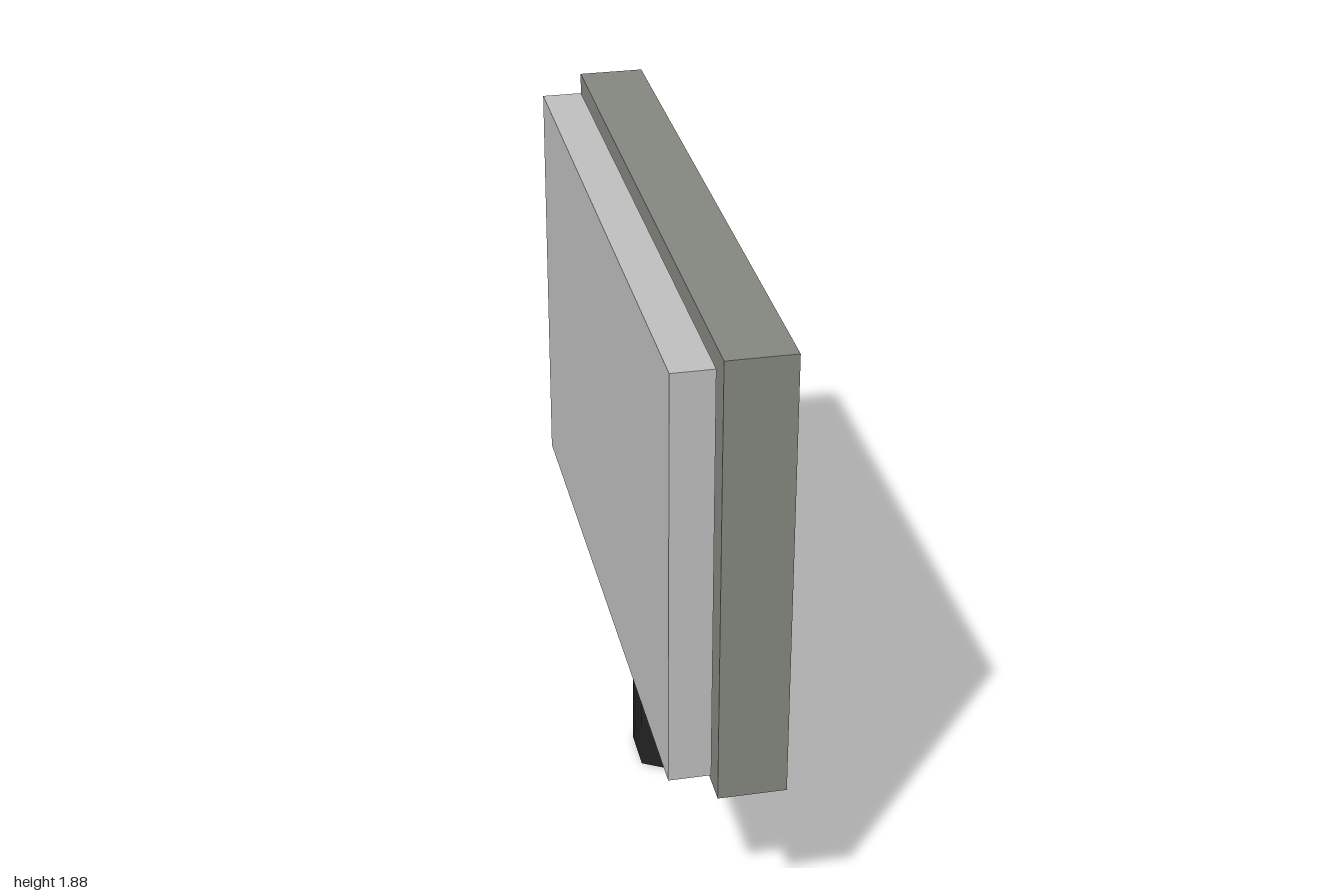
import * as THREE from 'three';

const material = (name, color) => {
  const m = new THREE.MeshStandardMaterial({ color });
  m.name = name;
  return m;
};

export function createModel() {
  const model = new THREE.Group();
  model.name = 'signBoard';

  const add = (name, geometry, mat, x, y) => {
    const mesh = new THREE.Mesh(geometry, mat);
    mesh.name = name;
    mesh.position.set(x, y, 0);
    model.add(mesh);
  };

  // Thick main board
  add('mainBoard', new THREE.BoxGeometry(0.193, 1.33, 2), material('warmGrey', 0x84867f), 0.0485, 1.215);

  // Slightly smaller panel, set just off the board
  add('facePanel', new THREE.BoxGeometry(0.119, 1.24, 1.905), material('lightGrey', 0xbebebe), -0.1155, 1.215);

  // Six-sided post with smooth sides, its top sunk into the board
  add('post', new THREE.CylinderGeometry(0.141, 0.141, 0.715, 6), material('nearBlack', 0x222222), 0.0485, 0.3575);

  return model;
}
